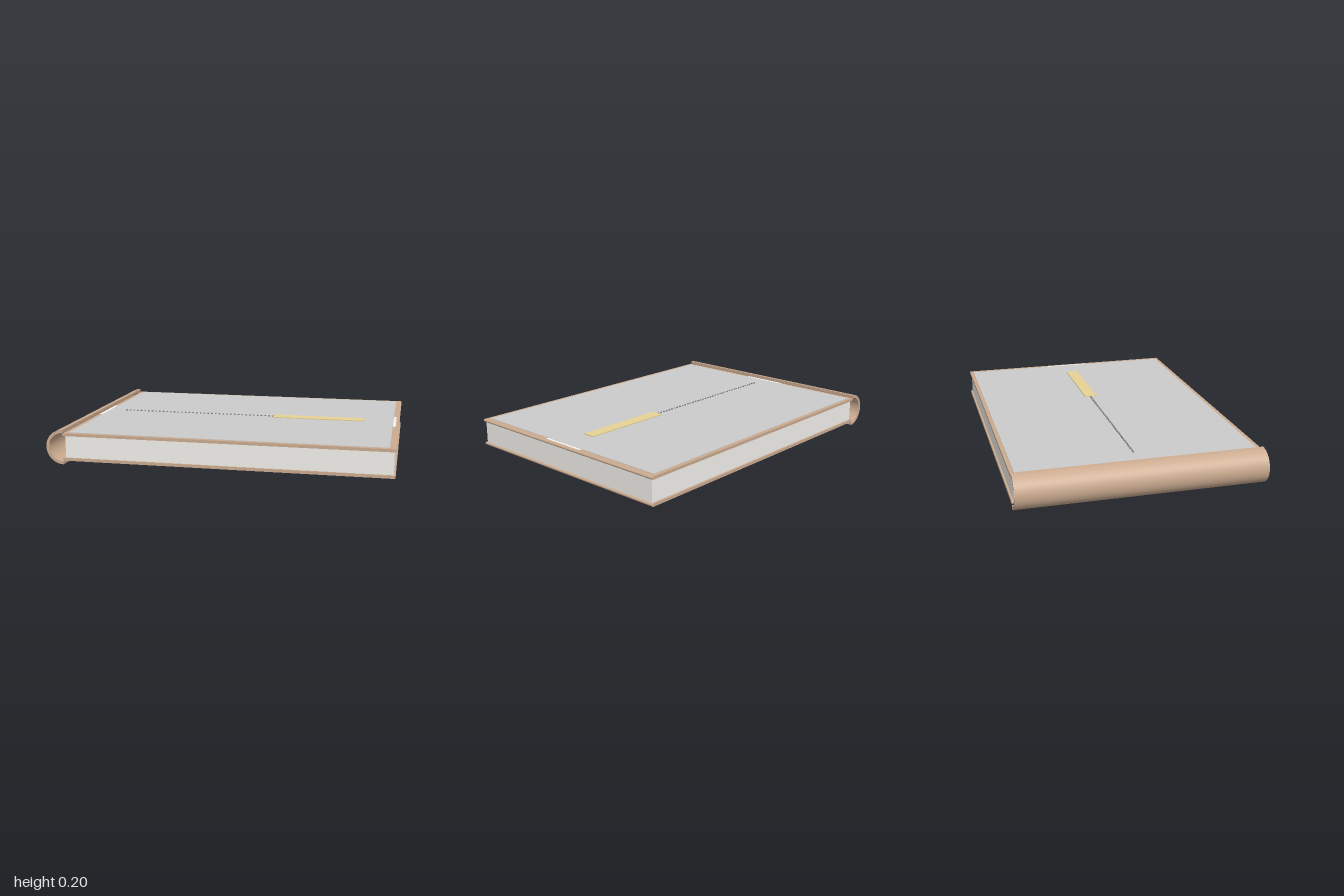
import * as THREE from 'three';

export function createModel() {
  const book = new THREE.Group();
  const mat = (color) => new THREE.MeshStandardMaterial({ color });
  const leather = mat(0xcbab90), paper = mat(0xf2f0ec), grey = mat(0xcccccc);
  const gold = mat(0xe6d296), dark = mat(0x77777c);
  const depth = 1.416;

  const add = (name, geometry, material, x = 0, y = 0, z = 0) => {
    const mesh = new THREE.Mesh(geometry, material);
    mesh.name = name;
    mesh.position.set(x, y, z);
    book.add(mesh);
    return mesh;
  };
  const slab = (name, material, x0, x1, y0, y1, halfZ) =>
    add(name, new THREE.BoxGeometry(x1 - x0, y1 - y0, halfZ * 2), material, (x0 + x1) / 2, (y0 + y1) / 2);
  const extrude = (shape) =>
    new THREE.ExtrudeGeometry(shape, { depth, bevelEnabled: false, curveSegments: 24 }).translate(0, 0, -depth / 2);

  // Cover boards with rounded fore and hinge edges
  const r = 0.0085;
  const board = new THREE.Shape();
  board.absarc(1 - r, 0, r, -Math.PI / 2, Math.PI / 2, false);
  board.absarc(-0.9 + r, 0, r, Math.PI / 2, Math.PI * 1.5, false);
  const boardGeometry = extrude(board);
  add('bottomCover', boardGeometry, leather, 0, 0.033);
  add('topCover', boardGeometry, leather, 0, 0.179);

  // Half-round hollow spine
  const arc = new THREE.Shape();
  arc.absarc(0, 0, 0.102, Math.PI / 2, Math.PI * 1.5, false);
  arc.absarc(0, 0, 0.084, Math.PI * 1.5, Math.PI / 2, true);
  add('spine', extrude(arc), leather, -0.898, 0.104);

  // Page block
  slab('pages', paper, -0.885, 0.99, 0.036, 0.176, 0.697);

  // Paper band under the large cover panel
  slab('paperBand', paper, -0.89, 0.98, 0.186, 0.1885, 0.143);
  slab('coverPanel', grey, -0.867, 0.963, 0.186, 0.1895, 0.685);

  // Bookmark strip and its beaded cord
  slab('bookmark', gold, 0.22, 0.787, 0.189, 0.195, 0.038);
  const cord = new THREE.Group();
  cord.name = 'beadedCord';
  const beadGeometry = new THREE.SphereGeometry(0.006, 10, 8);
  const count = 40;
  for (let i = 0; i < count; i++) {
    const bead = new THREE.Mesh(beadGeometry, dark);
    bead.name = 'bead';
    bead.position.set(-0.755 + (0.97 * i) / (count - 1), 0.191, -0.003);
    cord.add(bead);
  }
  book.add(cord);

  return book;
}
